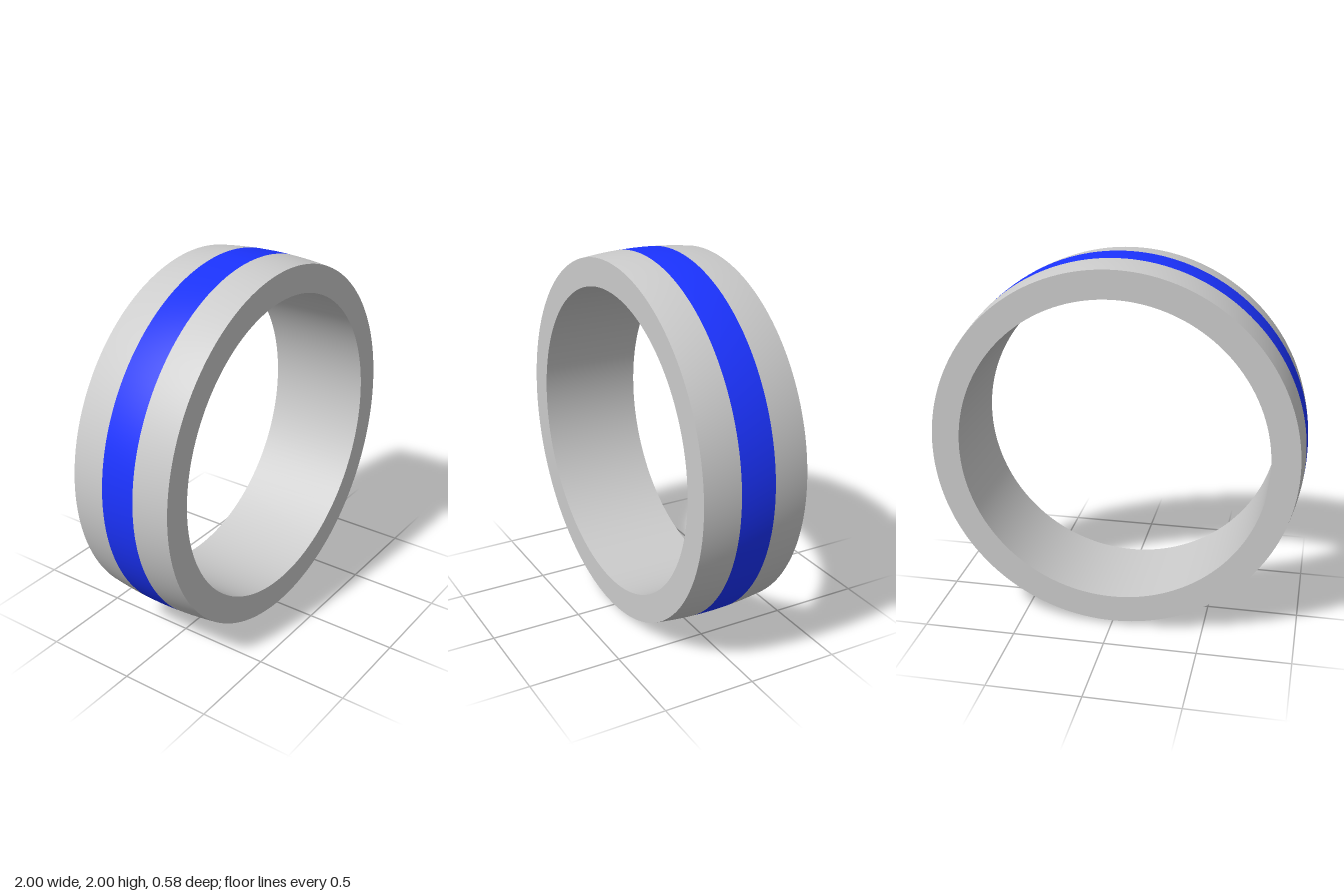
import * as THREE from 'three';

const HALF_WIDTH = 0.29, STRIPE = 0.095, INNER = 0.83, OUTER = 1, EDGE = 0.98;
const SEGMENTS = 160;

const metal = new THREE.MeshStandardMaterial({ color: 0xcccccc });
const blue = new THREE.MeshStandardMaterial({ color: 0x1b33ff });

// Gently domed outer radius at a given offset along the ring's axis
const domeRadius = (a) => OUTER - (OUTER - EDGE) * (a / HALF_WIDTH) ** 2;

// Points along the dome between two axial offsets
function domeProfile(from, to, steps = 8) {
  return Array.from({ length: steps + 1 }, (_, i) => {
    const a = from + ((to - from) * i) / steps;
    return [domeRadius(a), a];
  });
}

// Revolve a [radius, offset] profile around the z axis
function revolve(name, profile, material) {
  const points = profile.map(([r, a]) => new THREE.Vector2(r, a));
  const geometry = new THREE.LatheGeometry(points, SEGMENTS).rotateX(Math.PI / 2);
  const mesh = new THREE.Mesh(geometry, material);
  mesh.name = name;
  return mesh;
}

export function createModel() {
  const ring = new THREE.Group();
  ring.name = 'ring';
  const h = HALF_WIDTH;

  ring.add(
    // Domed outside: metal bands either side of the coloured stripe
    revolve('backOuterBand', domeProfile(-h, -STRIPE), metal),
    revolve('stripe', domeProfile(-STRIPE, STRIPE), blue),
    revolve('frontOuterBand', domeProfile(STRIPE, h), metal),
    // Flat side faces
    revolve('frontFace', [[EDGE, h], [INNER, h]], metal),
    revolve('backFace', [[INNER, -h], [EDGE, -h]], metal),
    // Straight inner bore
    revolve('bore', [[INNER, h], [INNER, -h]], metal),
  );

  ring.position.y = OUTER;
  const model = new THREE.Group();
  model.name = 'stripedRing';
  model.add(ring);
  return model;
}
